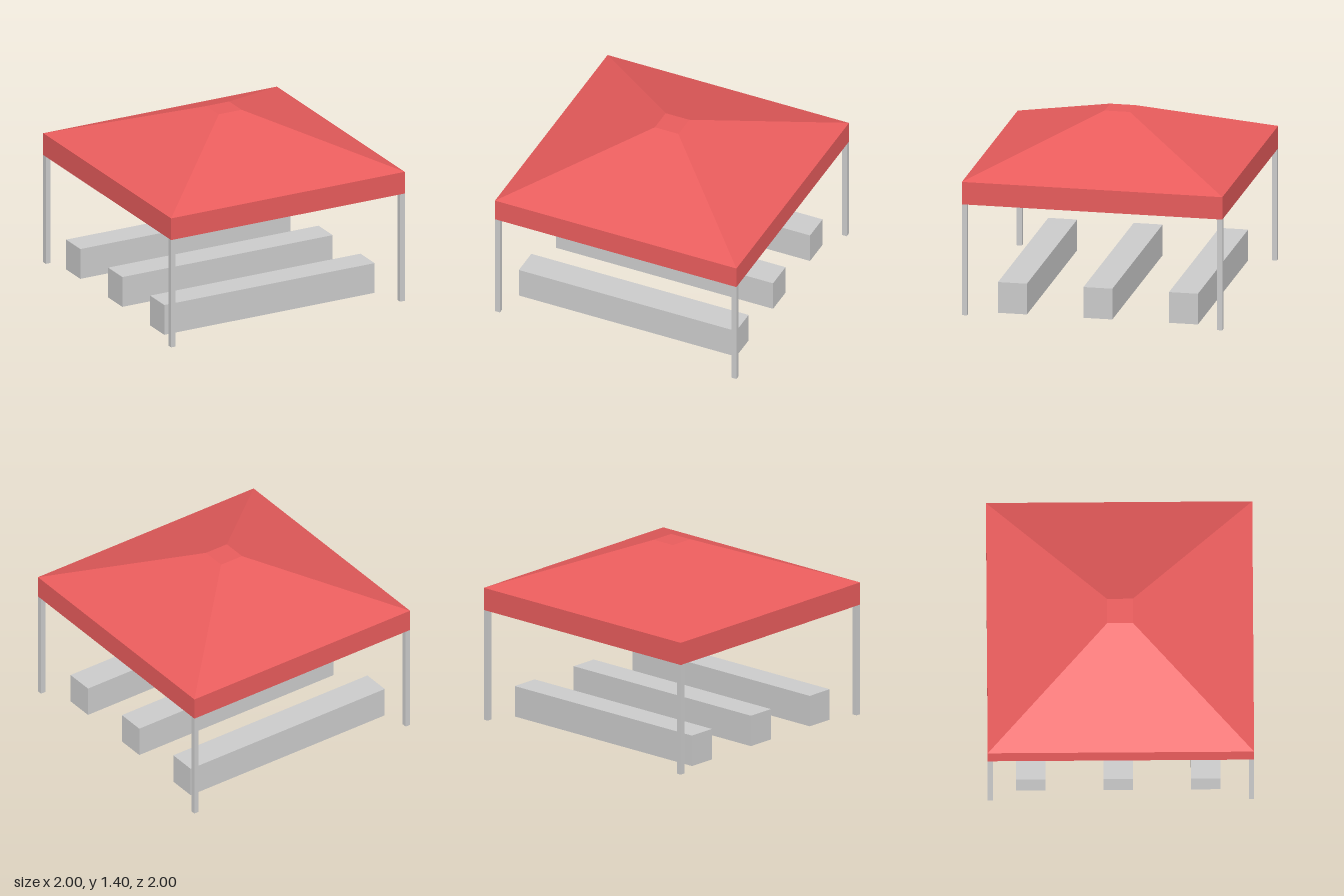
import * as THREE from 'three';

const ROOF_RED = 0xe85c5c;

function material(color = 0xcccccc) {
  return new THREE.MeshStandardMaterial({ color, flatShading: true });
}

// Box standing on the ground, centred at (x, z)
function standingBox(name, w, h, d, x, z, mat) {
  const mesh = new THREE.Mesh(new THREE.BoxGeometry(w, h, d), mat);
  mesh.position.set(x, h / 2, z);
  mesh.name = name;
  return mesh;
}

export function createModel() {
  const model = new THREE.Group();
  model.name = 'pavilion';

  // Four-sided canopy: flat underside, upright rim, hipped slopes, small flat top
  const profile = [[0, 0.865], [1, 0.865], [1, 1.04], [0.097, 1.4], [0, 1.4]]
    .map(([r, y]) => new THREE.Vector2(r * Math.SQRT2, y));
  const canopyGeometry = new THREE.LatheGeometry(profile, 4, Math.PI / 4).toNonIndexed();
  canopyGeometry.computeVertexNormals();
  const canopy = new THREE.Mesh(canopyGeometry, material(ROOF_RED));
  canopy.name = 'canopy';
  model.add(canopy);

  // Square posts flush with the canopy corners
  const posts = new THREE.Group();
  posts.name = 'posts';
  const postMaterial = material(0xeeeef0);
  for (const sx of [-1, 1]) {
    for (const sz of [-1, 1]) {
      const name = (sz > 0 ? 'front' : 'back') + (sx > 0 ? 'Left' : 'Right') + 'Post';
      posts.add(standingBox(name, 0.04, 0.865, 0.04, sx * 0.98, sz * 0.98, postMaterial));
    }
  }
  model.add(posts);

  // Three long solid benches, set slightly off centre
  const benches = new THREE.Group();
  benches.name = 'benches';
  const benchMaterial = material();
  [['frontBench', 0.637], ['middleBench', -0.019], ['backBench', -0.676]].forEach(([name, z]) => {
    benches.add(standingBox(name, 1.8, 0.24, 0.222, -0.02, z, benchMaterial));
  });
  model.add(benches);

  return model;
}
